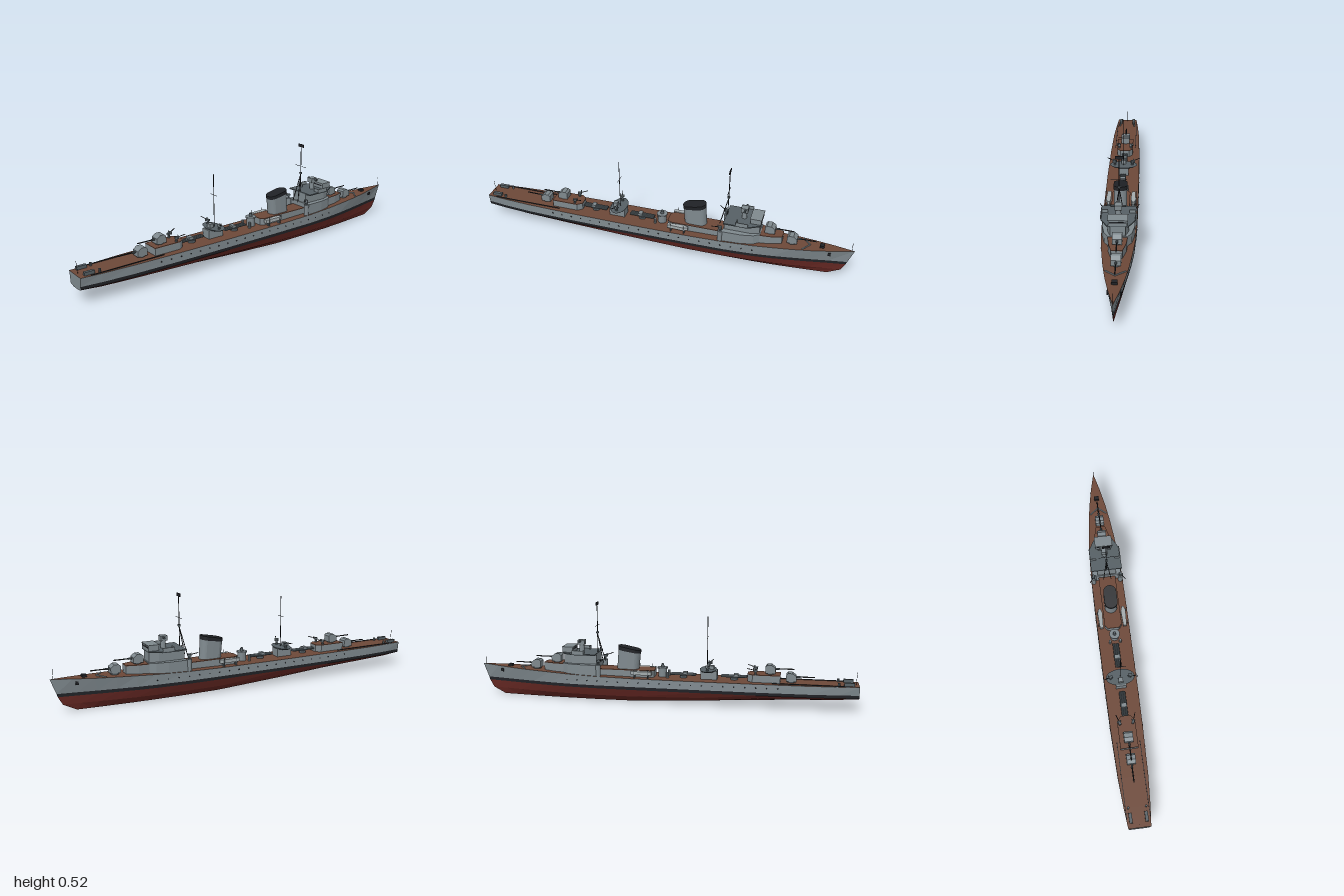
import * as THREE from 'three';

const mat = (color) => new THREE.MeshStandardMaterial({ color, flatShading: true, side: THREE.DoubleSide });
const GREY = mat(0x7f898e), DARK = mat(0x566065), WOOD = mat(0x6d4838), RED = mat(0x662823), BLACK = mat(0x202226);

export function createModel() {
  const root = new THREE.Group();
  const add = (name, geo, m, x = 0, y = 0, z = 0, parent = root) => {
    const mesh = new THREE.Mesh(geo, m);
    mesh.name = name;
    mesh.position.set(x, y, z);
    parent.add(mesh);
    return mesh;
  };
  const group = (name, x, y, z, parent = root) => {
    const g = new THREE.Group();
    g.name = name;
    g.position.set(x, y, z);
    parent.add(g);
    return g;
  };
  const box = (name, m, w, h, d, x, y, z, parent) => add(name, new THREE.BoxGeometry(w, h, d), m, x, y, z, parent);
  const cyl = (name, m, r0, r1, h, x, y, z, parent, n = 16) =>
    add(name, new THREE.CylinderGeometry(r1, r0, h, n), m, x, y + h / 2, z, parent);
  // thin round bar between two points
  const bar = (name, m, r, a, b, parent) => {
    const p = new THREE.Vector3(...a), q = new THREE.Vector3(...b), d = q.clone().sub(p);
    const mesh = add(name, new THREE.CylinderGeometry(r, r, d.length(), 8), m, 0, 0, 0, parent);
    mesh.position.copy(p).add(q).multiplyScalar(0.5);
    mesh.quaternion.setFromUnitVectors(new THREE.Vector3(0, 1, 0), d.normalize());
    return mesh;
  };
  // vertical prism from one half of a plan, [x, z] pairs mirrored in x
  const prism = (name, m, half, y0, y1) => {
    const pts = [...half, ...half.slice().reverse().map(([x, z]) => [-x, z])];
    const shape = new THREE.Shape(pts.map(([x, z]) => new THREE.Vector2(x, -z)));
    const geo = new THREE.ExtrudeGeometry(shape, { depth: y1 - y0, bevelEnabled: false }).rotateX(-Math.PI / 2);
    return add(name, geo, m, 0, y0, 0);
  };

  // Hull stations: z, deck half-width, waterline half-width, keel y, deck y
  const stations = [
    [1, 0.057, 0.052, 0.066, 0.133], [0.9, 0.067, 0.065, 0.056, 0.133], [0.75, 0.077, 0.077, 0.05, 0.133],
    [0.5, 0.084, 0.085, 0.038, 0.133], [0.2, 0.087, 0.088, 0.019, 0.133], [-0.15, 0.087, 0.088, 0.001, 0.134],
    [-0.35, 0.086, 0.086, 0, 0.138], [-0.5, 0.08, 0.077, 0, 0.143], [-0.6, 0.071, 0.065, 0, 0.147],
    [-0.7, 0.06, 0.05, 0, 0.151], [-0.8, 0.045, 0.034, 0, 0.155], [-0.9, 0.025, 0.016, 0, 0.16], [-1, 0, 0, 0, 0.165],
  ];
  const stemZ = [1, 0.972, 0.967, 0.945, 0.88]; // raked stem, deck to keel
  const rings = stations.map(([z, wd, ww, k, d]) => {
    const half = [[wd, d], [ww, 0.09], [ww * 0.985, 0.074], [ww * 0.8, k + (0.074 - k) * 0.46], [ww * 0.32, k]]
      .map(([x, y], j) => [x, y, z < -0.6 ? -0.6 + ((z + 0.6) * (stemZ[j] - 0.6)) / 0.4 : z]);
    return [...half, ...half.slice().reverse().map(([x, y, zz]) => [-x, y, zz])];
  });
  const strips = (name, m, pairs) => {
    const pos = [];
    for (let i = 0; i < rings.length - 1; i++) {
      for (const [j, k] of pairs) {
        const a = rings[i][j], b = rings[i][k], c = rings[i + 1][j], d = rings[i + 1][k];
        pos.push(...a, ...b, ...c, ...c, ...b, ...d);
      }
    }
    const geo = new THREE.BufferGeometry();
    geo.setAttribute('position', new THREE.Float32BufferAttribute(pos, 3));
    geo.computeVertexNormals();
    add(name, geo, m);
  };
  strips('hullSides', GREY, [[0, 1], [8, 9]]);
  strips('waterlineBand', BLACK, [[1, 2], [7, 8]]);
  strips('hullBottom', RED, [[2, 3], [3, 4], [4, 5], [5, 6], [6, 7]]);
  strips('deck', WOOD, [[9, 0]]);
  const transom = new THREE.Shape(rings[0].map(([x, y]) => new THREE.Vector2(x, y)));
  add('transom', new THREE.ShapeGeometry(transom), GREY, 0, 0, 1);

  // Portholes and anchors
  for (const s of [1, -1]) {
    for (let i = 0; i < 21; i++) {
      const z = 0.6 - i * 0.055;
      const k = stations.findIndex((st) => st[0] <= z), [z0, a0, b0] = stations[k - 1], [z1, a1, b1] = stations[k];
      const t = (z0 - z) / (z0 - z1);
      const w = ((a0 + b0) * (1 - t) + (a1 + b1) * t) / 2;
      add('porthole', new THREE.CylinderGeometry(0.0035, 0.0035, 0.004, 8).rotateZ(Math.PI / 2), BLACK, s * w, 0.113, z);
    }
    box('anchor', BLACK, 0.006, 0.016, 0.014, s * 0.028, 0.138, -0.88);
  }

  // Deckhouses
  prism('funnelDeckhouse', GREY, [[0.045, -0.34], [0.045, -0.06], [0.03, -0.04]], 0.13, 0.168);
  prism('funnelDeckhouseRoof', WOOD, [[0.046, -0.34], [0.046, -0.06], [0.031, -0.039]], 0.168, 0.171);
  prism('forwardDeckhouse', GREY, [[0.05, -0.48], [0.042, -0.58], [0.026, -0.64]], 0.135, 0.188);
  prism('forwardDeckhouseRoof', WOOD, [[0.05, -0.48], [0.042, -0.58], [0.026, -0.641]], 0.188, 0.191);
  prism('aftDeckhouse', GREY, [[0.025, 0.445], [0.045, 0.47], [0.045, 0.61]], 0.13, 0.169);
  prism('aftDeckhouseRoof', WOOD, [[0.025, 0.444], [0.046, 0.47], [0.046, 0.611]], 0.169, 0.172);

  // Bridge
  prism('bridgeBase', GREY, [[0.079, -0.34], [0.077, -0.44], [0.065, -0.5], [0.045, -0.53]], 0.13, 0.195);
  prism('bridgeTower', GREY, [[0.05, -0.345], [0.05, -0.48], [0.035, -0.525]], 0.195, 0.247);
  prism('bridgePlatform', DARK, [[0.083, -0.345], [0.083, -0.47], [0.05, -0.53]], 0.246, 0.252);
  for (const s of [1, -1]) {
    box('wingBulwark', GREY, 0.004, 0.02, 0.06, s * 0.081, 0.26, -0.44);
    box('wingScreen', GREY, 0.032, 0.02, 0.004, s * 0.066, 0.26, -0.41);
  }
  box('wheelhouse', GREY, 0.088, 0.026, 0.055, 0, 0.265, -0.503);
  box('wheelhouseWindows', BLACK, 0.078, 0.007, 0.057, 0, 0.269, -0.503);
  box('wheelhouseRoof', GREY, 0.094, 0.004, 0.06, 0, 0.28, -0.503);
  cyl('directorPedestal', GREY, 0.014, 0.012, 0.042, 0, 0.25, -0.437);
  box('director', GREY, 0.034, 0.025, 0.036, 0, 0.302, -0.437);
  add('rangefinder', new THREE.CylinderGeometry(0.005, 0.005, 0.072, 10).rotateZ(Math.PI / 2), DARK, 0, 0.307, -0.442);

  // Funnel: slanted oblong tube whose top rises forward
  const funnelPart = (name, m, y0, y1, grow) => {
    const geo = new THREE.CylinderGeometry(1, 1, 1, 28);
    const p = geo.attributes.position;
    for (let i = 0; i < p.count; i++) {
      const t = y0 + (y1 - y0) * (p.getY(i) + 0.5);
      const c = p.getX(i), s = p.getZ(i);
      const z = s * 0.032 * grow + Math.sign(Math.round(s * 1e4)) * 0.027;
      p.setXYZ(i, c * 0.033 * grow, 0.165 + t * (0.117 - z * 0.2), z - 0.185 + t * 0.01);
    }
    geo.computeVertexNormals();
    add(name, geo, m);
  };
  funnelPart('funnel', GREY, 0, 0.86, 1);
  funnelPart('funnelCap', BLACK, 0.84, 1, 1.05);

  // Ship's boats beside the funnel
  for (const s of [1, -1]) {
    const boat = group('boat', s * 0.063, 0.152, -0.103);
    const plan = new THREE.Shape([[-0.055, -0.009], [0.03, -0.013], [0.055, -0.005], [0.055, 0.005], [0.03, 0.013], [-0.055, 0.009]]
      .map(([u, v]) => new THREE.Vector2(v, u)));
    add('boatHull', new THREE.ExtrudeGeometry(plan, { depth: 0.018, bevelEnabled: false }).rotateX(-Math.PI / 2), mat(0xa3abad), 0, 0, 0, boat);
    for (const z of [-0.035, 0.035]) {
      box('boatCradle', DARK, 0.016, 0.02, 0.006, 0, -0.008, z, boat);
      bar('davit', DARK, 0.0015, [s * 0.014, -0.018, z], [s * 0.014, 0.03, z], boat);
    }
  }

  // Main gun turrets; model faces +z, flipped for the forward pair
  const profile = new THREE.Shape([[-0.026, 0], [-0.026, 0.033], [-0.016, 0.042], [0.006, 0.042], [0.025, 0.028], [0.025, 0]]
    .map(([u, v]) => new THREE.Vector2(u, v)));
  for (const [y, z, turn] of [[0.159, -0.69, Math.PI], [0.196, -0.575, Math.PI], [0.177, 0.56, 0], [0.139, 0.665, 0]]) {
    const g = group('gunTurret', 0, y, z);
    g.rotation.y = turn;
    cyl('turretBase', DARK, 0.021, 0.021, 0.014, 0, -0.013, 0, g);
    const house = new THREE.ExtrudeGeometry(profile, { depth: 0.046, bevelEnabled: false }).translate(0, 0, -0.023).rotateY(-Math.PI / 2);
    add('turretHouse', house, GREY, 0, 0, 0, g);
    bar('barrelSleeve', DARK, 0.005, [0, 0.021, 0.018], [0, 0.021, 0.045], g);
    bar('barrel', BLACK, 0.003, [0, 0.021, 0.02], [0, 0.022, 0.118], g);
  }

  // Light anti-aircraft guns
  const lightGun = (x, y, z, turn) => {
    const g = group('lightGun', x, y, z);
    g.rotation.y = turn;
    cyl('gunPedestal', DARK, 0.007, 0.005, 0.016, 0, 0, 0, g, 8);
    box('gunCradle', DARK, 0.013, 0.01, 0.016, 0, 0.02, 0, g);
    box('gunShield', GREY, 0.022, 0.015, 0.003, 0, 0.023, 0.01, g);
    bar('gunBarrel', BLACK, 0.002, [0, 0.021, 0], [0, 0.033, 0.045], g);
  };
  for (const s of [1, -1]) {
    cyl('gunSponson', GREY, 0.012, 0.014, 0.06, s * 0.073, 0.138, -0.33);
    lightGun(s * 0.073, 0.198, -0.33, s * 0.5);
    lightGun(s * 0.034, 0.172, 0.485, s * 2.8);
    lightGun(s * 0.048, 0.183, 0.24, s * 1.2);
  }

  // Midships platforms
  cyl('searchlightTower', GREY, 0.022, 0.022, 0.047, 0, 0.133, 0);
  cyl('searchlightPlatform', GREY, 0.028, 0.028, 0.006, 0, 0.178, 0);
  cyl('searchlight', DARK, 0.009, 0.007, 0.018, 0, 0.184, 0);
  box('midHouse', GREY, 0.055, 0.045, 0.085, 0, 0.155, 0.245);
  cyl('midPlatform', DARK, 0.065, 0.075, 0.007, 0, 0.176, 0.24, root, 32).scale.z = 0.58;
  box('midLocker', GREY, 0.024, 0.02, 0.022, 0, 0.193, 0.26);

  // Torpedo tube mounts
  for (const z of [0.11, 0.375]) {
    const g = group('torpedoMount', 0, 0.133, z);
    cyl('mountRing', DARK, 0.019, 0.019, 0.012, 0, 0, 0, g);
    for (const x of [-0.011, 0, 0.011]) bar('torpedoTube', DARK, 0.0056, [x, 0.018, -0.066], [x, 0.018, 0.066], g);
    box('mountHood', GREY, 0.03, 0.01, 0.022, 0, 0.026, 0.01, g);
  }

  // Masts
  bar('foremast', BLACK, 0.0022, [0, 0.25, -0.35], [0, 0.5, -0.35]);
  for (const s of [1, -1]) bar('foremastLeg', BLACK, 0.002, [s * 0.02, 0.2, -0.315], [0, 0.35, -0.35]);
  bar('foreYard', BLACK, 0.0012, [-0.04, 0.395, -0.35], [0.04, 0.395, -0.35]);
  cyl('crowsNest', DARK, 0.007, 0.008, 0.009, 0, 0.352, -0.35);
  box('mastAerial', BLACK, 0.039, 0.016, 0.004, 0, 0.51, -0.35);
  bar('mainmast', BLACK, 0.0018, [0, 0.18, 0.235], [0, 0.457, 0.235]);
  bar('mainYard', BLACK, 0.0012, [-0.028, 0.349, 0.235], [0.028, 0.349, 0.235]);
  bar('jackstaff', BLACK, 0.001, [0, 0.16, -0.985], [0, 0.212, -0.985]);
  bar('ensignStaff', BLACK, 0.001, [0, 0.13, 0.985], [0, 0.195, 0.99]);

  // Deck fittings
  box('windlass', BLACK, 0.026, 0.012, 0.022, 0, 0.163, -0.84);
  for (const s of [1, -1]) {
    bar('breakwater', GREY, 0.004, [0, 0.156, -0.78], [s * 0.045, 0.154, -0.745]);
    box('mineRail', BLACK, 0.003, 0.004, 0.38, s * 0.059, 0.135, 0.76);
    box('depthChargeRack', DARK, 0.016, 0.016, 0.05, s * 0.04, 0.142, 0.95);
    cyl('ventilator', GREY, 0.007, 0.007, 0.03, s * 0.028, 0.133, 0.03, root, 10);
    cyl('depthChargeThrower', DARK, 0.006, 0.006, 0.016, s * 0.045, 0.133, 0.9, root, 10);
  }
  return root;
}
